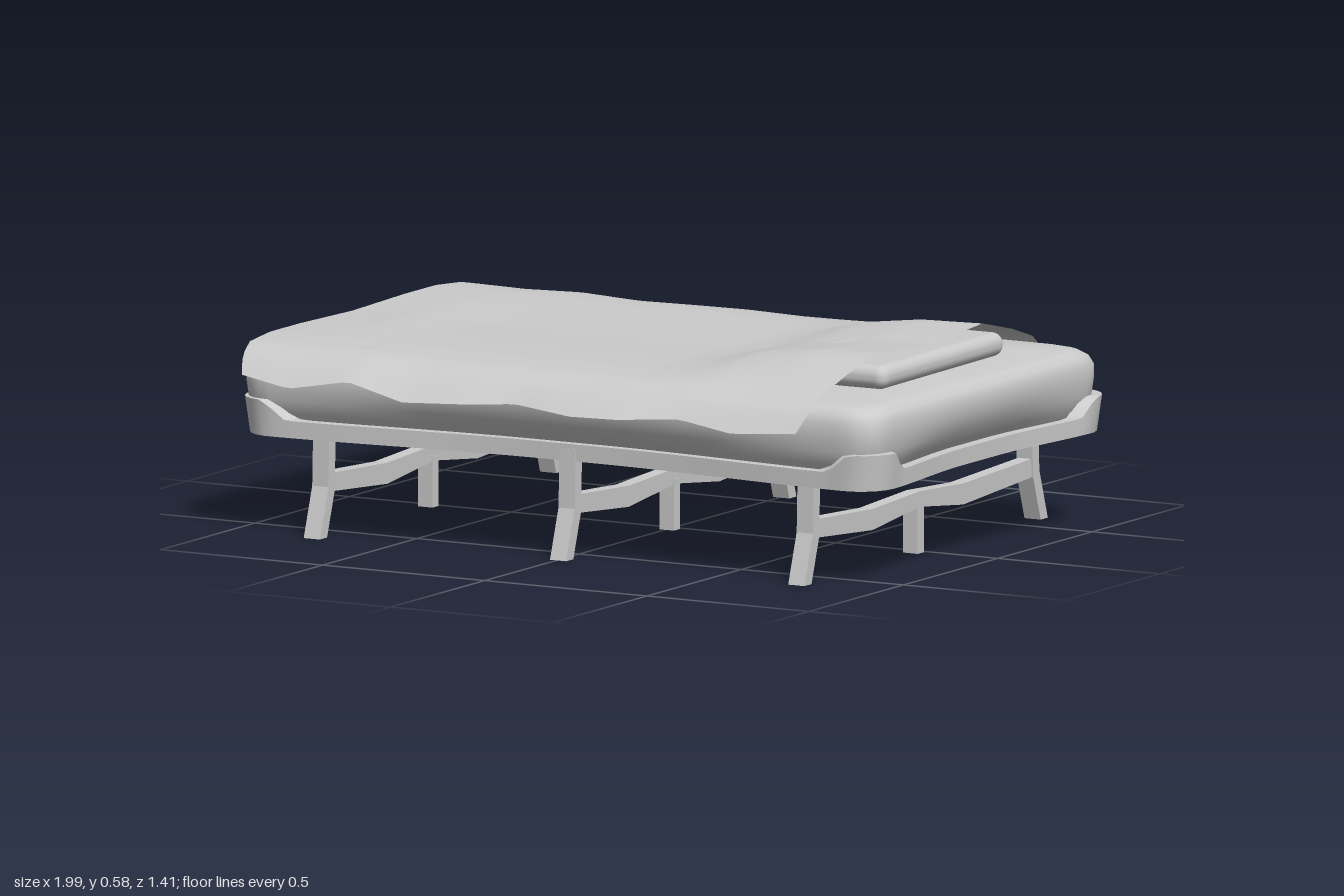
import * as THREE from 'three';
import { RoundedBoxGeometry } from 'three/addons/geometries/RoundedBoxGeometry.js';
import { toCreasedNormals } from 'three/addons/utils/BufferGeometryUtils.js';

const mat = new THREE.MeshStandardMaterial({ color: 0xcccccc });
const clothMat = new THREE.MeshStandardMaterial({ color: 0xcccccc, side: THREE.DoubleSide });
const { smoothstep, lerp } = THREE.MathUtils;

function add(parent, name, geometry, material = mat) {
  const mesh = new THREE.Mesh(geometry, material);
  mesh.name = name;
  parent.add(mesh);
}

// Piecewise linear lookup
function sample(keys, values, t) {
  let i = 0;
  while (i < keys.length - 2 && t > keys[i + 1]) i++;
  return lerp(values[i], values[i + 1], THREE.MathUtils.clamp((t - keys[i]) / (keys[i + 1] - keys[i]), 0, 1));
}

// Move every vertex by a rule
function deform(geometry, rule) {
  const p = geometry.attributes.position;
  const v = new THREE.Vector3();
  for (let i = 0; i < p.count; i++) {
    rule(v.fromBufferAttribute(p, i));
    p.setXYZ(i, v.x, v.y, v.z);
  }
  return geometry;
}

// Outline given as (z, y) pairs, thickened along x
function sideProfile(points, x, width) {
  const shape = new THREE.Shape(points.map(([z, y]) => new THREE.Vector2(z, y)));
  return new THREE.ExtrudeGeometry(shape, { depth: width, bevelEnabled: false })
    .rotateY(-Math.PI / 2).translate(x + width / 2, 0, 0);
}

// Rounded rectangle with half sizes X, Z; the sides bow inward between the corners
function outline(X, Z, r, bow) {
  const shape = new THREE.Shape();
  [[1, 1], [-1, 1], [-1, -1], [1, -1]].forEach(([sx, sz], q) =>
    shape.absarc(sx * (X - r), sz * (Z - r), r, q * Math.PI / 2, (q + 1) * Math.PI / 2));
  shape.closePath();
  return shape.getSpacedPoints(200).slice(0, -1).map(({ x, y: z }) => [
    x * (1 - 0.035 * bow * (1 - smoothstep(Math.abs(z), 0.1, 0.55))),
    z * (1 - 0.09 * bow * (1 - smoothstep(Math.abs(x), 0.1, 0.92))),
  ]);
}

// Skin over rings of [x, y, z] points; looped joins the last ring to the first
function skin(rings, looped) {
  const n = rings[0].length, index = [];
  for (let k = 0; k < rings.length - (looped ? 0 : 1); k++) {
    for (let i = 0; i < n; i++) {
      const j = (i + 1) % n, m = (k + 1) % rings.length;
      const a = k * n + i, b = k * n + j, c = m * n + i, d = m * n + j;
      index.push(a, c, b, b, c, d);
    }
  }
  const g = new THREE.BufferGeometry();
  g.setAttribute('position', new THREE.Float32BufferAttribute(rings.flat(2), 3));
  g.setIndex(index);
  return toCreasedNormals(g, 0.7);
}

// Mattress: soft stacked outlines, drawn in at the bottom where it meets the rail
function mattressGeometry() {
  const levels = [
    [0.295, 0.6, 1], [0.295, 0.035, 1], [0.325, 0.015, 0.8], [0.36, 0.004, 0.35], [0.4, 0, 0.1],
    [0.44, 0, 0], [0.463, 0.01, 0], [0.478, 0.03, 0], [0.486, 0.06, 0], [0.488, 0.6, 0],
  ];
  return skin(levels.map(([y, inset, bow]) =>
    outline(0.982 - inset, 0.617 - inset, Math.min(0.08, 0.617 - inset), bow)
      .map(([x, z]) => [x - 0.01, y, z])), false);
}

// Rail loop whose outer wall rises into a pocket at each corner
function railGeometry() {
  const path = outline(0.985, 0.625, 0.1, 1);
  const cornerness = ([x, z]) =>
    smoothstep(Math.abs(x), 0.83, 0.9) * smoothstep(Math.abs(z), 0.47, 0.53);
  const ring = (sx, sz, top) => path.map(([x, z]) => {
    const c = cornerness([x, z]);
    const flare = top ? 1 + 0.012 * c : 1;
    return [x * sx * flare, top ? lerp(0.308, 0.36, c) : 0.262, z * sz * flare];
  });
  return skin([ring(1, 1, false), ring(1, 1, true), ring(0.965, 0.945, true), ring(0.965, 0.945, false)], true);
}

// Blanket: a grid draped over mattress and pillow, with an uneven hem
function blanketGeometry() {
  const keys = [0, 0.2, 0.4, 0.6, 0.75, 0.88, 1];
  const across = [0, 0.14, 0.28, 0.44, 0.56, 0.625, 0.685];
  const flat = [0.503, 0.506, 0.509, 0.509, 0.499, 0.468, 0.415];
  const head = [0.558, 0.568, 0.577, 0.54, 0.505, 0.468, 0.415];
  const hemX = [-0.94, -0.78, -0.61, -0.43, -0.26, -0.1, 0.08, 0.22, 0.4, 0.57, 0.75];
  const frontZ = [0.67, 0.7, 0.68, 0.7, 0.69, 0.665, 0.69, 0.69, 0.66, 0.675, 0.66];
  const backZ = [0.665, 0.645, 0.7, 0.675, 0.71, 0.7, 0.665, 0.685, 0.68, 0.655, 0.65];
  const hemY = [0.43, 0.41, 0.44, 0.402, 0.41, 0.42, 0.405, 0.408, 0.42, 0.397, 0.41];
  const g = new THREE.PlaneGeometry(1, 1, 60, 40).rotateX(-Math.PI / 2);
  deform(g, (v) => {
    const t = Math.min(1, Math.abs(v.z) * 2), side = Math.sign(v.z), hem = t ** 6;
    const x = lerp(-0.99 + 0.05 * hem, 0.79 - 0.03 * hem, v.x + 0.5);
    const rise = sample([0.2, 0.3, 0.42, 0.6, 0.79], [0, 0.15, 0.6, 0.93, 1], x);
    const footHump = 0.008 * Math.exp(-(((x + 0.78) / 0.12) ** 2)) * (1 - t);
    v.y = lerp(sample(keys, flat, t), sample(keys, head, t), rise) + footHump
      + hem * (sample(hemX, hemY, x) - 0.415);
    v.z = side * (sample(keys, across, t) + hem * (sample(hemX, side > 0 ? frontZ : backZ, x) - 0.685));
    v.x = x;
  });
  g.computeVertexNormals();
  return g;
}

// Leg frame: two splayed legs, a sagging crossbar and a short middle leg
function legFrame(x, front, back) {
  const group = new THREE.Group();
  group.name = 'legFrame';
  const leg = [[-0.035, 0.295], [-0.028, 0.12], [0.012, 0], [0.05, 0], [0.005, 0.135], [0, 0.295]];
  add(group, 'frontLeg', sideProfile(leg.map(([z, y]) => [front + z, y]), x, 0.05));
  add(group, 'backLeg', sideProfile(leg.map(([z, y]) => [-back - z, y]).reverse(), x, 0.05));
  const f = front - 0.02, b = 0.02 - back;
  add(group, 'crossbar', sideProfile([
    [b, 0.12], [-0.2, 0.098], [0.03, 0.125], [0.28, 0.098], [f, 0.12],
    [f, 0.17], [0.28, 0.155], [0.03, 0.167], [-0.2, 0.155], [b, 0.17],
  ], x, 0.04));
  add(group, 'middleLeg', sideProfile([[0.012, 0], [0.045, 0], [0.045, 0.14], [0.012, 0.14]], x, 0.045));
  return group;
}

export function createModel() {
  const bed = new THREE.Group();
  bed.name = 'campBed';

  add(bed, 'mattress', mattressGeometry());
  add(bed, 'rail', railGeometry());

  const pillow = deform(new RoundedBoxGeometry(0.35, 0.065, 0.67, 4, 0.03), (v) => {
    if (v.y > 0) v.y -= 0.004 * Math.cos(v.z * 4.7);
  });
  add(bed, 'pillow', pillow.rotateY(0.02).translate(0.665, 0.519, 0.005));
  add(bed, 'blanket', blanketGeometry(), clothMat);

  // Leg frames along the length, the middle one narrower where the rail bows in
  for (const [x, front, back] of [[-0.74, 0.595, 0.595], [0.005, 0.57, 0.55], [0.757, 0.6, 0.59]]) {
    bed.add(legFrame(x, front, back));
  }
  add(bed, 'middleSlat', new THREE.BoxGeometry(0.045, 0.037, 1.1).translate(0.005, 0.277, 0.01));

  return bed;
}
